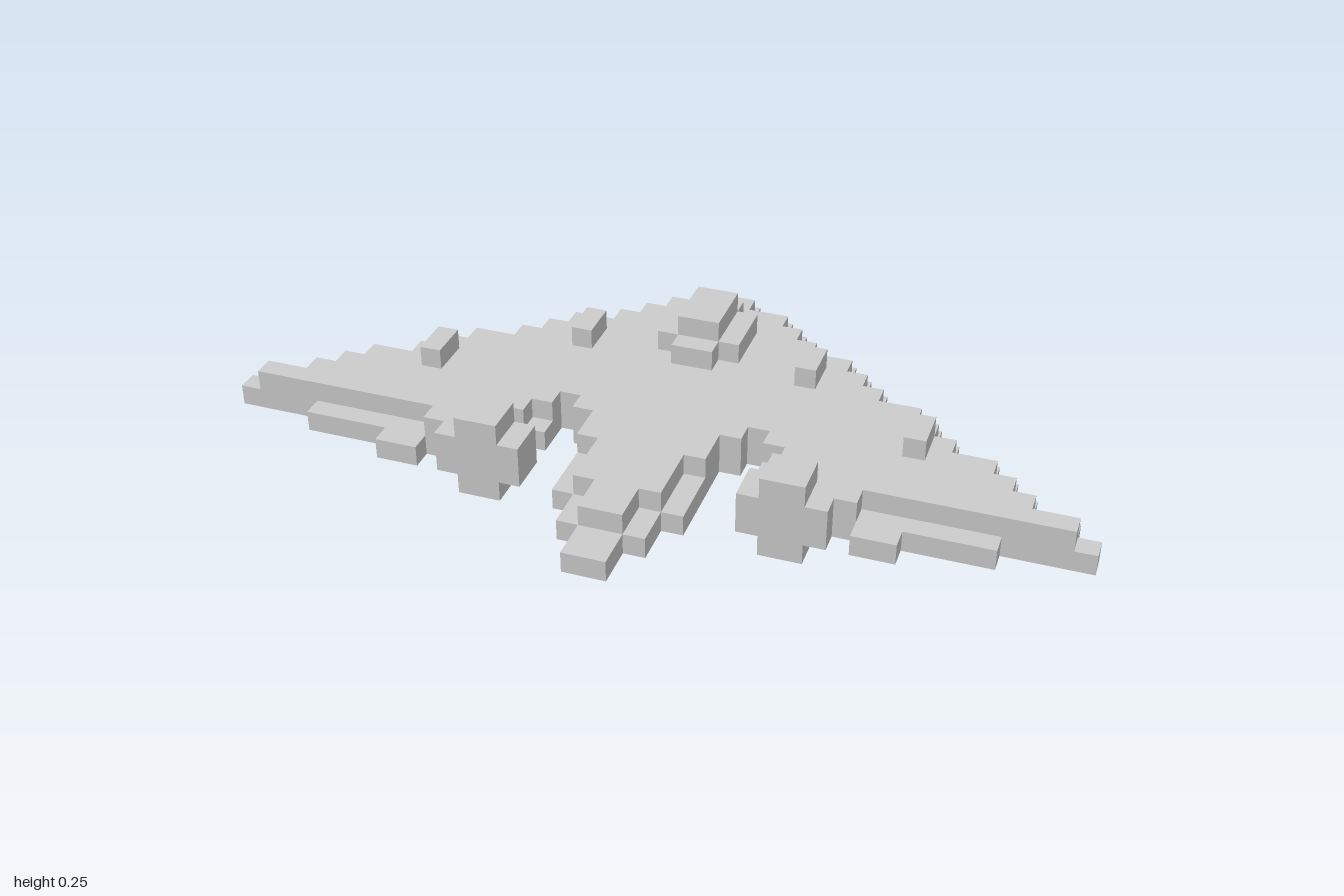
import * as THREE from 'three';

const U = 0.05; // size of one block
const material = new THREE.MeshStandardMaterial({ color: 0xcccccc, flatShading: true });

// Box given by its limits on each axis
function block(name, [x0, x1], [y0, y1], [z0, z1]) {
  const mesh = new THREE.Mesh(new THREE.BoxGeometry(x1 - x0, y1 - y0, z1 - z0), material);
  mesh.position.set((x0 + x1) / 2, (y0 + y1) / 2, (z0 + z1) / 2);
  mesh.name = name;
  return mesh;
}

// The same box on both sides of the centre line
function pair(name, [x0, x1], y, z) {
  const group = new THREE.Group();
  group.name = name + 's';
  group.add(block(name + 'Left', [x0, x1], y, z), block(name + 'Right', [-x1, -x0], y, z));
  return group;
}

// One-block-thick slab with a stepped outline, mirrored about x = 0.
// Each step moves sideways to x, then along to z.
function slab(name, y, startZ, steps) {
  const half = [];
  let z = startZ;
  for (const [x, nextZ] of steps) {
    half.push([x, z], [x, nextZ]);
    z = nextZ;
  }
  const mirrored = half.map(([x, zz]) => [-x, zz]).reverse();
  const points = [...half, ...mirrored].map(([x, zz]) => new THREE.Vector2(x, -zz));
  const geometry = new THREE.ExtrudeGeometry(new THREE.Shape(points), { depth: U, bevelEnabled: false });
  geometry.rotateX(-Math.PI / 2);
  const mesh = new THREE.Mesh(geometry, material);
  mesh.position.y = y;
  mesh.name = name;
  return mesh;
}

export function createModel() {
  const model = new THREE.Group();
  model.name = 'blockGlider';

  // Half widths of the swept edge, row by row from the rear tip
  const sweep = [0.05, 0.15, 0.2, 0.25, 0.35, 0.4, 0.45, 0.55, 0.6, 0.65, 0.75, 0.8, 0.85, 0.95, 1];
  const swept = (start, rows) => sweep.slice(0, rows).map((w, i) => [w, start + U * (i + 1)]);

  // Lower hull: wings, notches beside the engines, and pointed nose
  model.add(slab('lowerHull', 0.05, -0.55, [
    ...swept(-0.55, 15),
    [0.8, 0.25], [0.6, 0.3], [0.5, 0.25], [0.45, 0.2],
    [0.3, 0.15], [0.25, 0.05], [0.2, 0.1], [0.15, 0.35], [0.1, 0.45], [0.05, 0.55],
  ]));

  // Upper hull: the same plan set in by one step
  model.add(slab('upperHull', 0.1, -0.5, [
    ...swept(-0.5, 14),
    [0.5, 0.25], [0.45, 0.2],
    [0.35, 0.15], [0.3, 0.1], [0.25, 0.05], [0.2, 0.1], [0.15, 0.2], [0.1, 0.35], [0.05, 0.45],
  ]));

  // Canopy
  const canopy = new THREE.Group();
  canopy.name = 'canopy';
  canopy.add(
    block('canopyBase', [-0.1, 0.1], [0.15, 0.2], [-0.35, -0.2]),
    block('canopyRearStep', [-0.05, 0.05], [0.15, 0.2], [-0.4, -0.35]),
    block('canopyFrontStep', [-0.05, 0.05], [0.15, 0.2], [-0.2, -0.15]),
    block('canopyTop', [-0.05, 0.05], [0.2, 0.25], [-0.35, -0.2]),
  );
  model.add(canopy);

  // Cross-shaped engines
  model.add(
    pair('engineCore', [0.25, 0.45], [0.05, 0.15], [0.2, 0.3]),
    pair('engineTop', [0.3, 0.4], [0.15, 0.2], [0.2, 0.3]),
    pair('engineBottom', [0.3, 0.4], [0, 0.05], [0.2, 0.3]),
  );

  // Small blocks on the wings
  model.add(
    pair('innerWingBlock', [0.25, 0.3], [0.15, 0.2], [-0.25, -0.15]),
    pair('outerWingBlock', [0.55, 0.6], [0.15, 0.2], [-0.05, 0.05]),
  );
  return model;
}
